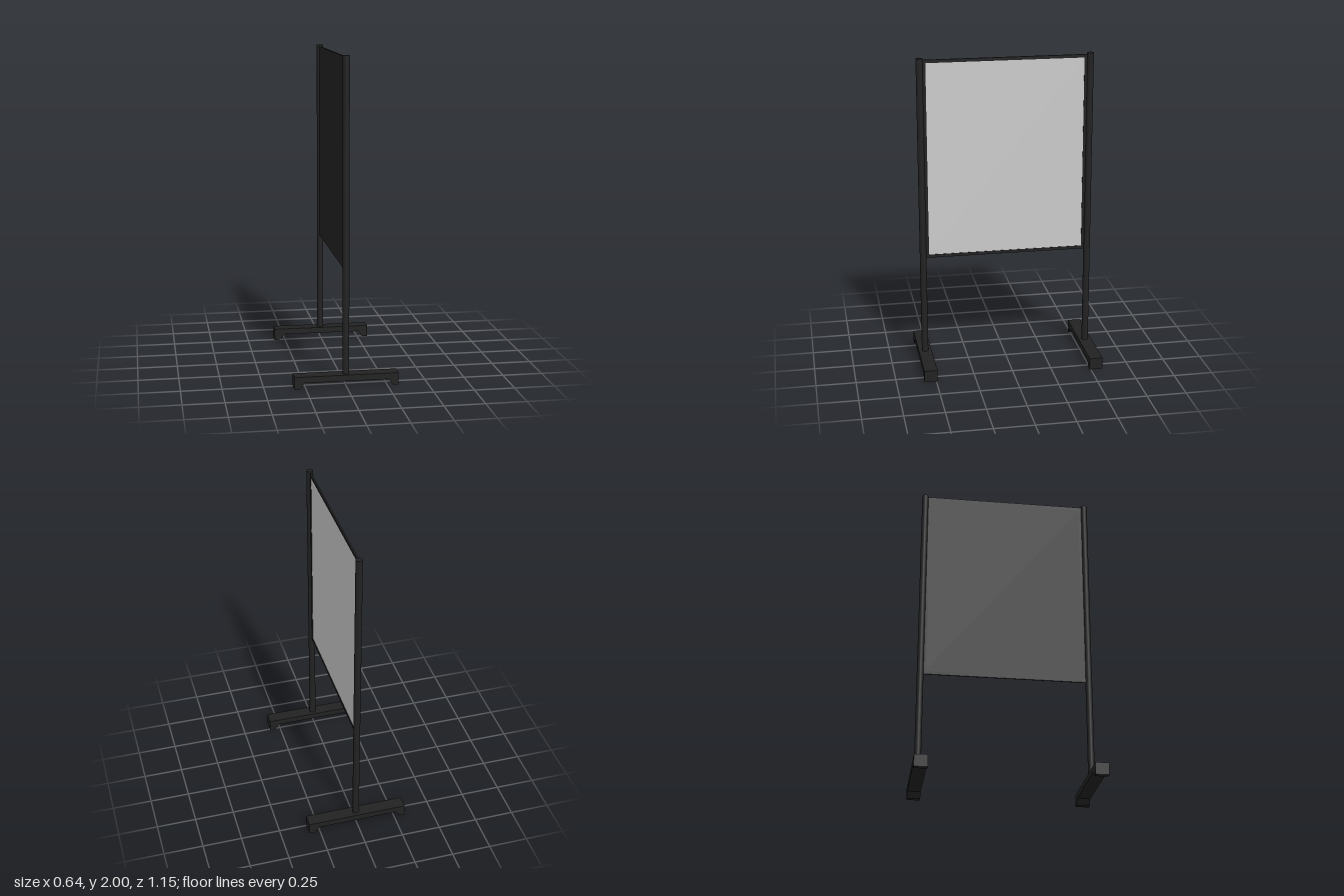
import * as THREE from 'three';

export function createModel() {
  const group = new THREE.Group();
  const dark = new THREE.MeshStandardMaterial({ color: 0x222222 });
  const grey = new THREE.MeshStandardMaterial({ color: 0xcccccc });

  const add = (name, geometry, material, x = 0, y = 0, z = 0) => {
    const mesh = new THREE.Mesh(geometry, material);
    mesh.name = name;
    mesh.position.set(x, y, z);
    group.add(mesh);
    return mesh;
  };

  // Foot profile: a bar with a sloped pad under each end
  const footShape = new THREE.Shape([
    [-0.32, 0], [-0.285, 0], [-0.258, 0.037], [0.258, 0.037],
    [0.285, 0], [0.32, 0], [0.32, 0.075], [-0.32, 0.075],
  ].map(([x, y]) => new THREE.Vector2(x, y)));
  const footDepth = 0.083;
  const footGeometry = new THREE.ExtrudeGeometry(footShape, { depth: footDepth, bevelEnabled: false });

  // Feet and round posts at both ends
  const postZ = 0.533;
  const postGeometry = new THREE.CylinderGeometry(0.021, 0.021, 1.93, 20);
  for (const [side, s] of [['front', 1], ['back', -1]]) {
    add(side + 'Foot', footGeometry, dark, 0, 0, s * postZ - footDepth / 2);
    add(side + 'Post', postGeometry, dark, 0, 1.035, s * postZ);
  }

  // Board: plain dark backing, grey writing surface and a thin raised frame on the +x side
  const bottom = 0.715, top = 1.99, halfWidth = 0.52, rail = 0.02;
  const height = top - bottom, midY = (top + bottom) / 2;
  add('boardBacking', new THREE.BoxGeometry(0.004, height, 2 * halfWidth), dark, -0.004, midY);
  add('boardSurface', new THREE.BoxGeometry(0.003, height - 2 * rail, 0.99), grey, -0.0005, midY);
  const railGeometry = new THREE.BoxGeometry(0.01, rail, 2 * halfWidth);
  add('topRail', railGeometry, dark, -0.001, top - rail / 2);
  add('bottomRail', railGeometry, dark, -0.001, bottom + rail / 2);
  const stileGeometry = new THREE.BoxGeometry(0.01, height - 2 * rail, 0.025);
  for (const [side, s] of [['front', 1], ['back', -1]]) {
    add(side + 'Stile', stileGeometry, dark, -0.001, midY, s * (halfWidth - 0.0125));
  }

  return group;
}
